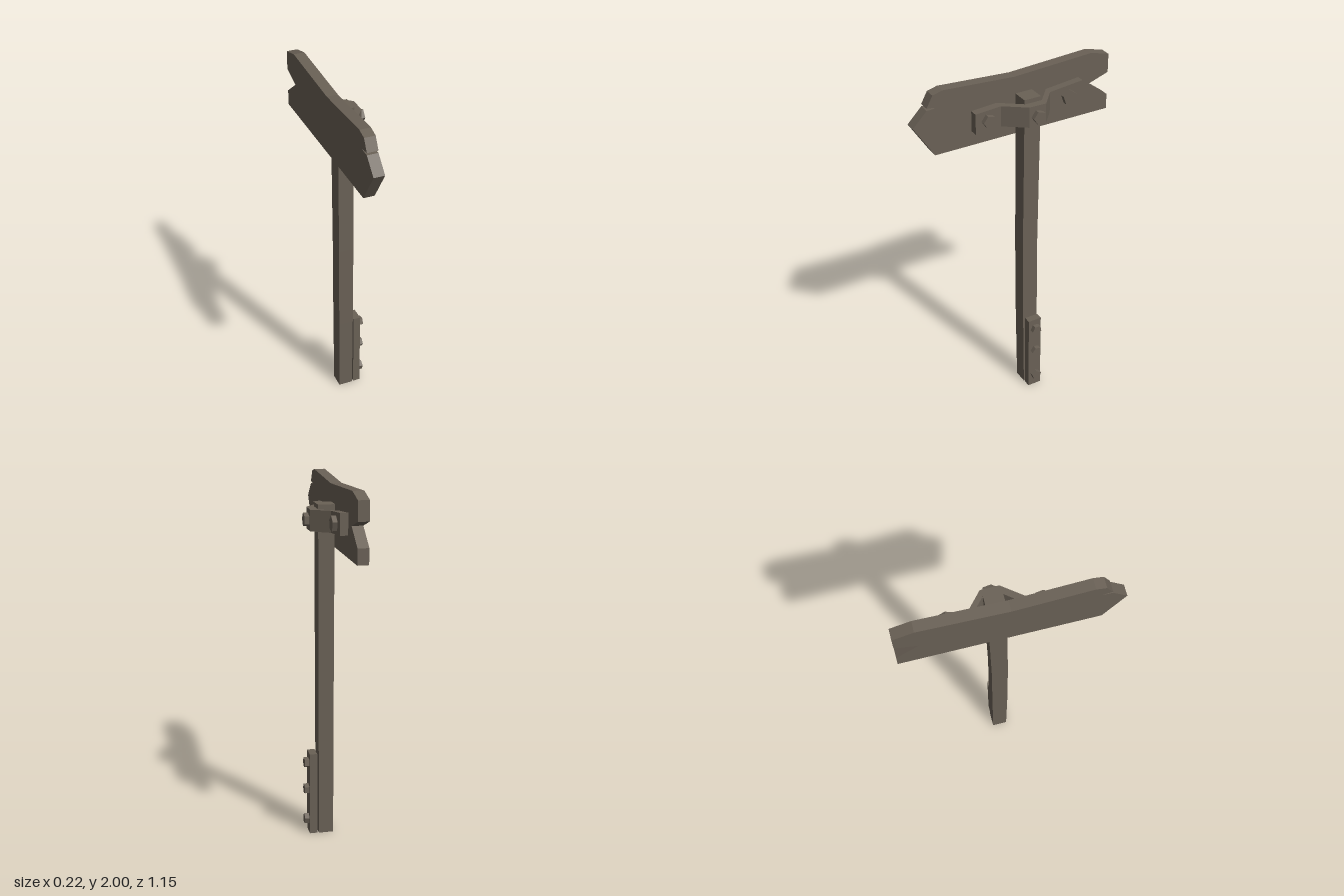
import * as THREE from 'three';

// Skin four-cornered rings into a closed, flat-faced solid
function loft(rings) {
  const pos = [];
  const tri = (a, b, c) => pos.push(...a, ...b, ...c);
  const quad = (a, b, c, d) => { tri(a, b, c); tri(a, c, d); };
  for (let r = 0; r < rings.length - 1; r++) {
    const a = rings[r], b = rings[r + 1];
    for (let i = 0; i < 4; i++) {
      const j = (i + 1) % 4;
      quad(a[i], a[j], b[j], b[i]);
    }
  }
  const s = rings[0], e = rings[rings.length - 1];
  quad(s[3], s[2], s[1], s[0]);
  quad(e[0], e[1], e[2], e[3]);
  const geo = new THREE.BufferGeometry();
  geo.setAttribute('position', new THREE.Float32BufferAttribute(pos, 3));
  geo.computeVertexNormals();
  return geo;
}

export function createModel() {
  const group = new THREE.Group();
  const wood = new THREE.MeshStandardMaterial({ color: 0x6a6156, flatShading: true });
  wood.name = 'weathered wood';

  const add = (name, geo) => {
    const mesh = new THREE.Mesh(geo, wood);
    mesh.name = name;
    group.add(mesh);
    return mesh;
  };

  // Arrow-shaped board, outline as [z, y]
  const outline = [
    [0.58, 1.83], [0.465, 1.65], [-0.575, 1.65], [-0.575, 1.735], [-0.455, 1.825],
    [-0.575, 1.865], [-0.575, 1.97], [-0.465, 2.0], [0.0, 1.975], [0.41, 2.0],
    [0.465, 1.985], [0.5, 1.922], [0.45, 1.916], [0.455, 1.912], [0.5, 1.91],
  ];
  const shape = new THREE.Shape(outline.map(([z, y]) => new THREE.Vector2(-z, y)));
  const board = new THREE.ExtrudeGeometry(shape, { depth: 0.06, bevelEnabled: false });
  board.rotateY(Math.PI / 2).translate(-0.112, 0, 0);
  add('signBoard', board);

  // Slightly crooked post: y, x range, z range
  const post = [
    [0, -0.048, 0.034, -0.095, -0.01],
    [0.48, -0.05, 0.035, -0.094, -0.003],
    [1.0, -0.05, 0.036, -0.092, 0],
    [1.65, -0.05, 0.038, -0.1, -0.005],
    [1.88, -0.052, 0.04, -0.103, -0.005],
  ];
  add('post', loft(post.map(([y, x0, x1, z0, z1]) =>
    [[x0, y, z1], [x1, y, z1], [x1, y, z0], [x0, y, z0]])));

  // Bent strap around the post: z, inner x, outer x, lower y, upper y
  const strap = [
    [-0.387, -0.052, -0.01, 1.765, 1.88],
    [-0.188, -0.052, -0.01, 1.745, 1.86],
    [-0.108, 0.04, 0.083, 1.742, 1.856],
    [-0.01, 0.04, 0.083, 1.742, 1.857],
    [0.107, -0.052, -0.007, 1.74, 1.855],
    [0.253, -0.052, -0.007, 1.73, 1.845],
  ];
  add('strap', loft(strap.map(([z, x0, x1, y0, y1]) =>
    [[x0, y0, z], [x1, y0, z], [x1, y1, z], [x0, y1, z]])));

  // Plate at the foot of the post
  const plate = new THREE.BoxGeometry(0.042, 0.482, 0.08);
  add('footPlate', plate.translate(0.064, 0.241, -0.052));

  // Five-sided bolt heads: name, x of base, y, z, radius, turn
  const bolts = [
    ['strapBoltFront', -0.007, 1.795, 0.183, 0.037, 0],
    ['strapBoltMiddle', 0.083, 1.797, -0.058, 0.037, 0],
    ['strapBoltBack', -0.01, 1.812, -0.297, 0.042, -Math.PI / 2],
    ['footBoltUpper', 0.085, 0.422, -0.054, 0.03, 0.2],
    ['footBoltMiddle', 0.085, 0.262, -0.054, 0.03, 0],
    ['footBoltLower', 0.085, 0.08, -0.054, 0.03, -0.3],
  ];
  for (const [name, x, y, z, r, turn] of bolts) {
    const geo = new THREE.CylinderGeometry(r, r, 0.03, 5);
    geo.rotateZ(-Math.PI / 2).rotateX(turn).translate(x + 0.011, y, z);
    add(name, geo);
  }

  return group;
}
